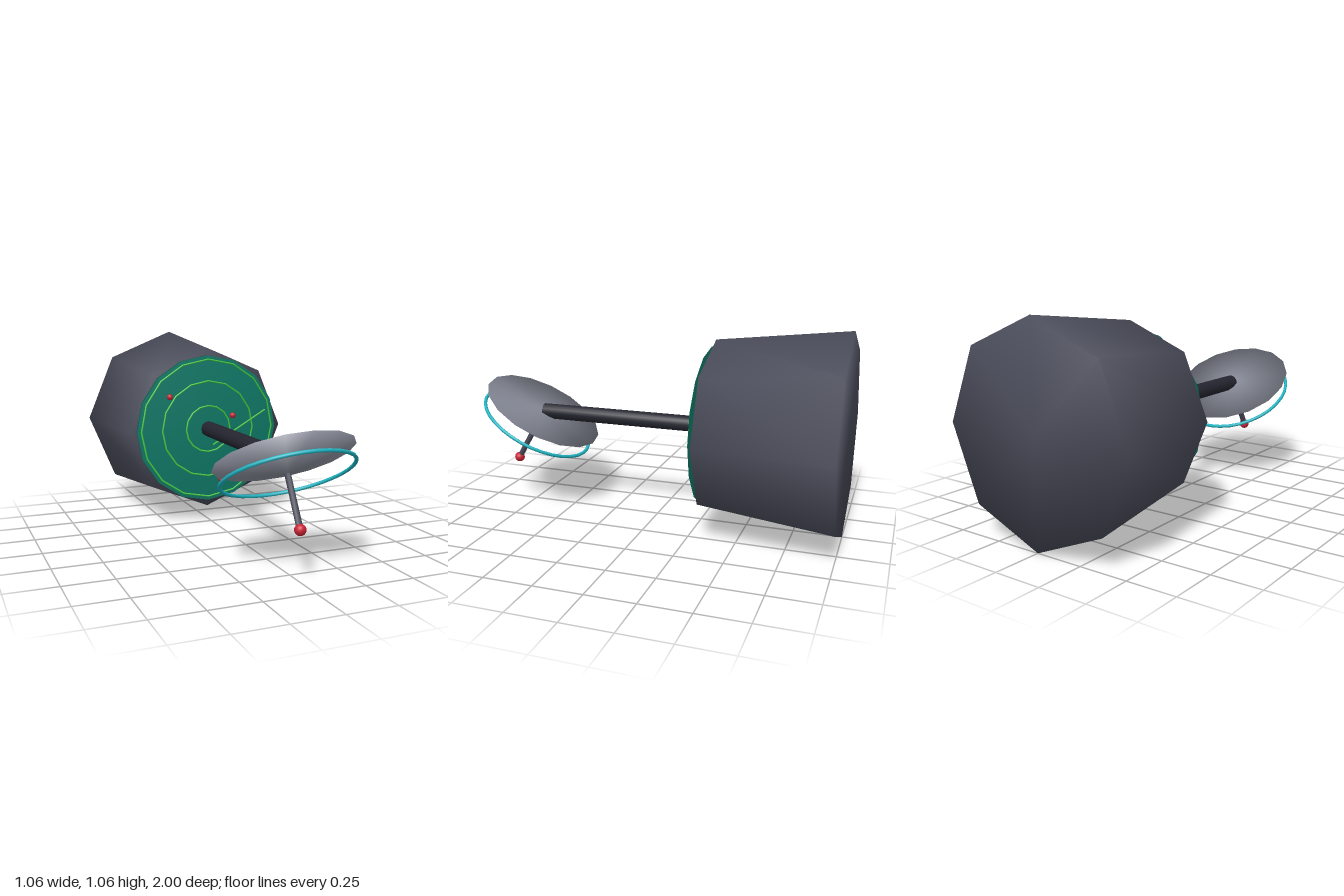
import * as THREE from 'three';
import { mergeVertices } from 'three/addons/utils/BufferGeometryUtils.js';

const mat = (name, color) => new THREE.MeshStandardMaterial({ name, color });

// Welds all corners so the shading runs smoothly over every edge
function soften(geometry) {
  geometry.deleteAttribute('uv');
  geometry.deleteAttribute('normal');
  const welded = mergeVertices(geometry, 1e-4);
  welded.computeVertexNormals();
  return welded;
}

export function createModel() {
  const model = new THREE.Group();
  model.name = 'radarStation';

  const housingGrey = mat('housingGrey', 0x4a4c5a);
  const poleDark = mat('poleDark', 0x252530);
  const dishGrey = mat('dishGrey', 0x888c99);
  const screenGreen = mat('screenGreen', 0x0f7a68);
  const gridGreen = mat('gridGreen', 0x44cc44);
  const ringCyan = mat('ringCyan', 0x1fb6c4);
  const signalRed = mat('signalRed', 0xcc2236);

  function add(parent, name, geometry, material, x = 0, y = 0, z = 0) {
    const mesh = new THREE.Mesh(soften(geometry), material);
    mesh.name = name;
    mesh.position.set(x, y, z);
    parent.add(mesh);
    return mesh;
  }

  // Cylinder lying along z between two depths
  function addRound(parent, name, rFront, rBack, zBack, zFront, sides, material) {
    const geometry = new THREE.CylinderGeometry(rFront, rBack, zFront - zBack, sides);
    geometry.rotateX(Math.PI / 2);
    return add(parent, name, geometry, material, 0, 0, (zFront + zBack) / 2);
  }

  // Everything on the main axis is placed relative to its height
  const axis = new THREE.Group();
  axis.name = 'mainAxis';
  axis.position.y = 0.531;
  model.add(axis);

  addRound(axis, 'housing', 0.455, 0.531, -1, -0.315, 8, housingGrey);
  addRound(axis, 'screen', 0.417, 0.417, -0.32, -0.292, 16, screenGreen);
  addRound(axis, 'pole', 0.043, 0.043, -0.31, 0.67, 12, poleDark);

  // Range rings, sweep line and blips on the screen
  for (const radius of [0.132, 0.273, 0.395]) {
    add(axis, 'rangeRing', new THREE.TorusGeometry(radius, 0.005, 6, 16), gridGreen, 0, 0, -0.29);
  }
  const sweep = add(axis, 'sweepLine', new THREE.BoxGeometry(0.375, 0.008, 0.008), gridGreen, 0.19, 0, -0.288);
  sweep.rotation.z = Math.PI / 6;
  for (const [x, y] of [[-0.23, 0.191], [0.075, -0.299], [0.148, 0.07]]) {
    add(axis, 'blip', new THREE.SphereGeometry(0.017, 10, 8), signalRed, x, y, -0.286);
  }

  // Tilted antenna: its local +z points down and forward
  const antenna = new THREE.Group();
  antenna.name = 'antenna';
  antenna.position.set(0, 0.535, 0.677);
  antenna.rotation.x = Math.PI / 3;
  model.add(antenna);

  const cone = new THREE.ConeGeometry(0.339, 0.082, 16);
  cone.rotateX(Math.PI / 2);
  add(antenna, 'dish', cone, dishGrey, 0, 0, 0.041);
  add(antenna, 'dishRing', new THREE.TorusGeometry(0.317, 0.009, 8, 32), ringCyan, 0, 0, 0.083);
  addRound(antenna, 'feedRod', 0.016, 0.016, 0.05, 0.335, 8, housingGrey);
  add(antenna, 'feedTip', new THREE.SphereGeometry(0.028, 12, 10), signalRed, 0, 0, 0.34);

  return model;
}
